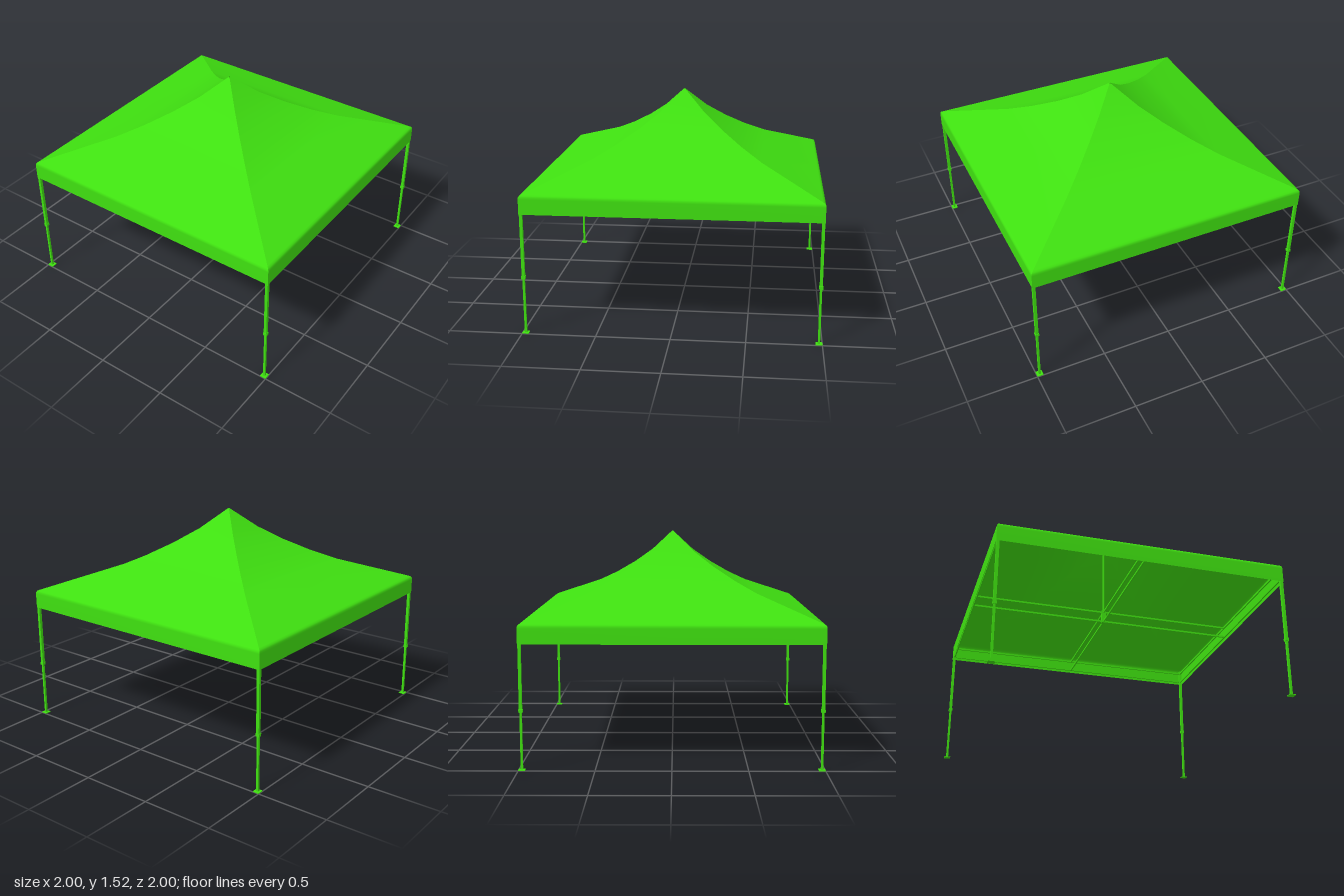
import * as THREE from 'three';

const fabric = new THREE.MeshStandardMaterial({ color: 0x3fe010, side: THREE.DoubleSide });
const metal = new THREE.MeshStandardMaterial({ color: 0x3fe010 });

// Half-width and height of the square canopy, from peak to valance hem
const PROFILE = [
  [0.004, 1.52], [0.15, 1.38], [0.285, 1.28], [0.43, 1.19], [0.575, 1.115],
  [0.97, 0.962], [0.983, 0.955], [0.989, 0.945], [0.99, 0.932], [0.99, 0.83],
];

// One of the four canopy sides: a strip of trapezoids, smooth down the slope
function canopySide() {
  const pos = [], idx = [];
  PROFILE.forEach(([r, y], i) => {
    pos.push(-r, y, r, 0, y, r, r, y, r);
    if (!i) return;
    for (let c = 0; c < 2; c++) {
      const a = (i - 1) * 3 + c, b = i * 3 + c;
      idx.push(a, b, b + 1, a, b + 1, a + 1);
    }
  });
  const g = new THREE.BufferGeometry();
  g.setAttribute('position', new THREE.Float32BufferAttribute(pos, 3));
  g.setIndex(idx);
  g.computeVertexNormals();
  return g;
}

export function createModel() {
  const model = new THREE.Group();
  const box = (parent, name, w, h, d, x, y, z) => {
    const m = new THREE.Mesh(new THREE.BoxGeometry(w, h, d), metal);
    m.name = name;
    m.position.set(x, y, z);
    parent.add(m);
    return m;
  };

  // Canopy and perimeter frame, one quarter per side
  const side = canopySide();
  for (let k = 0; k < 4; k++) {
    const quarter = new THREE.Group();
    quarter.name = 'canopyQuarter' + (k + 1);
    quarter.rotation.y = k * Math.PI / 2;
    const roof = new THREE.Mesh(side, fabric);
    roof.name = 'canopySide';
    quarter.add(roof);
    for (const y of [0.85, 0.925]) {
      box(quarter, 'edgeRail', 1.94, 0.013, 0.01, 0, y, 0.975);
      box(quarter, 'crossRail', 0.01, 0.013, 0.97, 0, y, 0.485);
    }
    model.add(quarter);
  }

  // Peak pole and its hub
  const pole = new THREE.Mesh(new THREE.CylinderGeometry(0.008, 0.008, 0.67, 12), metal);
  pole.name = 'peakPole';
  pole.position.y = 1.175;
  model.add(pole);
  box(model, 'hub', 0.03, 0.1, 0.03, 0, 0.888, 0);

  // Telescopic legs
  for (const sx of [-1, 1]) for (const sz of [-1, 1]) {
    const leg = new THREE.Group();
    leg.name = 'leg';
    leg.position.set(sx * 0.978, 0, sz * 0.978);
    box(leg, 'upperTube', 0.02, 0.55, 0.02, 0, 0.67, 0);
    box(leg, 'lowerTube', 0.015, 0.4, 0.015, 0, 0.2, 0);
    box(leg, 'heightLock', 0.026, 0.02, 0.026, 0, 0.395, 0);
    box(leg, 'foot', 0.044, 0.005, 0.044, 0, 0.0025, 0);
    model.add(leg);
  }
  return model;
}
